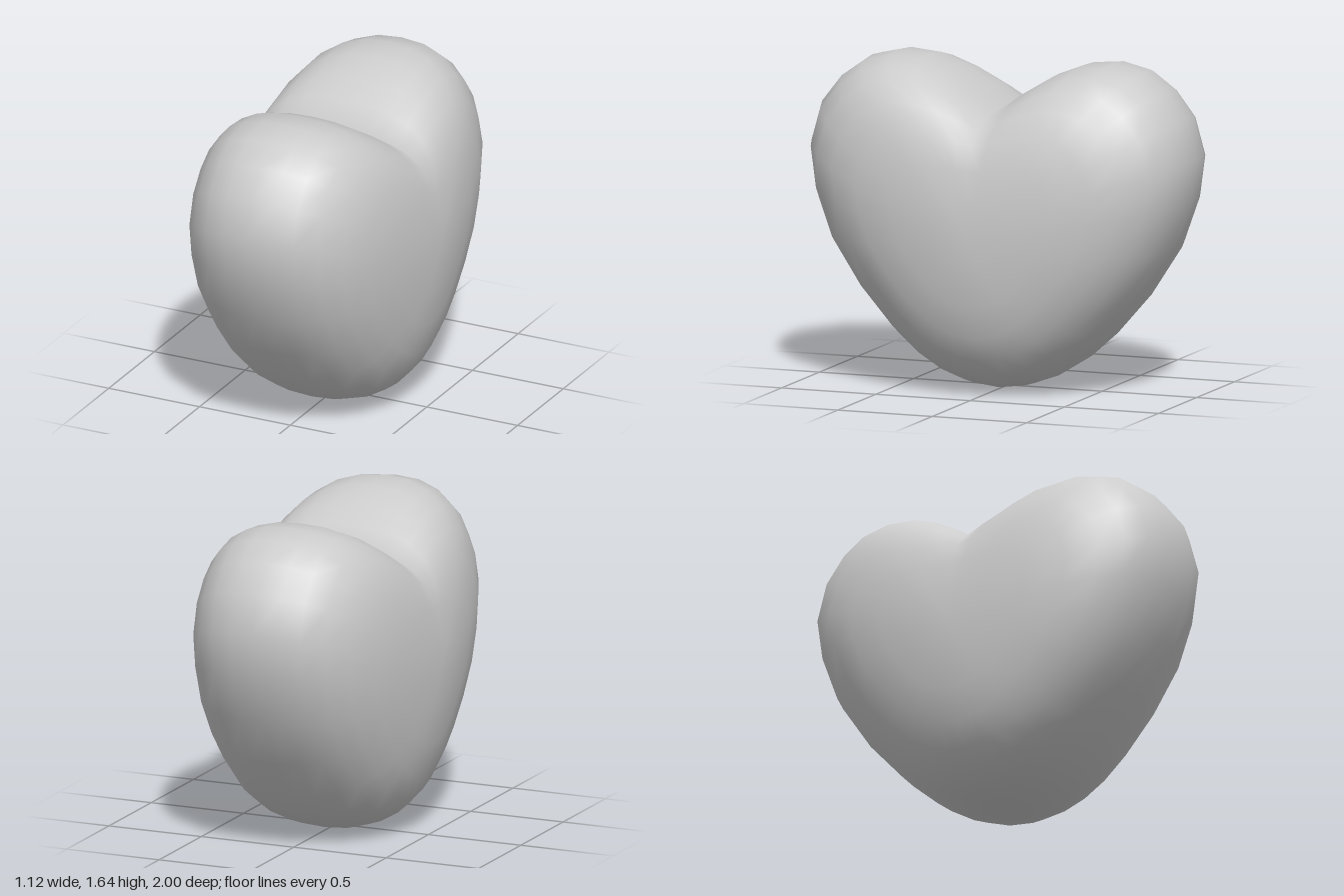
import * as THREE from 'three';

// Half outline of the heart, [z, y], from the notch round to the bottom tip
const HALF = [
  [0, 1.39], [0.14, 1.49], [0.27, 1.57], [0.41, 1.625], [0.57, 1.64], [0.72, 1.605],
  [0.84, 1.52], [0.945, 1.385], [1, 1.19], [0.97, 0.97], [0.88, 0.72], [0.72, 0.475],
  [0.54, 0.27], [0.4, 0.145], [0.27, 0.065], [0.14, 0.018], [0, 0],
];
// Puffed thickness: [outline scale, x] from the side pole to the rim
const PUFF = [
  [0, 0.56], [0.2, 0.555], [0.42, 0.53], [0.62, 0.485], [0.77, 0.42],
  [0.88, 0.337], [0.95, 0.24], [0.99, 0.125], [1, 0],
];
const CENTRE_Y = 0.8, LOBE_Z = 0.57, LOBE_Y = 1.64;

function heartGeometry() {
  const outline = [...HALF, ...HALF.slice(1, -1).reverse().map(([z, y]) => [-z, y])];
  const rings = [...PUFF, ...PUFF.slice(0, -1).reverse().map(([s, x]) => [s, -x])].slice(1, -1);
  const n = outline.length, positions = [], index = [];

  for (const [s, x] of rings) {
    // the notch between the lobes fades out towards the sides
    const fill = Math.min(1, (1 - s) * 1.6);
    for (const [z, y] of outline) {
      const inNotch = Math.abs(z) < LOBE_Z && y > 1.3;
      const top = inNotch ? THREE.MathUtils.lerp(y, LOBE_Y, fill) : y;
      positions.push(x, CENTRE_Y + (top - CENTRE_Y) * s, z * s);
    }
  }
  const left = rings.length * n, right = left + 1;
  positions.push(0.56, CENTRE_Y, 0, -0.56, CENTRE_Y, 0);

  // skin between rings, then the two side caps
  for (let j = 0; j < n; j++) {
    const k = (j + 1) % n;
    for (let i = 0; i < rings.length - 1; i++) {
      const a = i * n + j, b = i * n + k, c = b + n, d = a + n;
      index.push(a, d, c, a, c, b);
    }
    const last = (rings.length - 1) * n;
    index.push(left, j, k, right, last + k, last + j);
  }

  const geometry = new THREE.BufferGeometry();
  geometry.setAttribute('position', new THREE.Float32BufferAttribute(positions, 3));
  geometry.setIndex(index);
  geometry.computeVertexNormals();
  return geometry;
}

export function createModel() {
  const group = new THREE.Group();
  group.name = 'puffyHeart';
  const heart = new THREE.Mesh(heartGeometry(), new THREE.MeshStandardMaterial({ color: 0xcccccc }));
  heart.name = 'heart';
  group.add(heart);
  return group;
}
